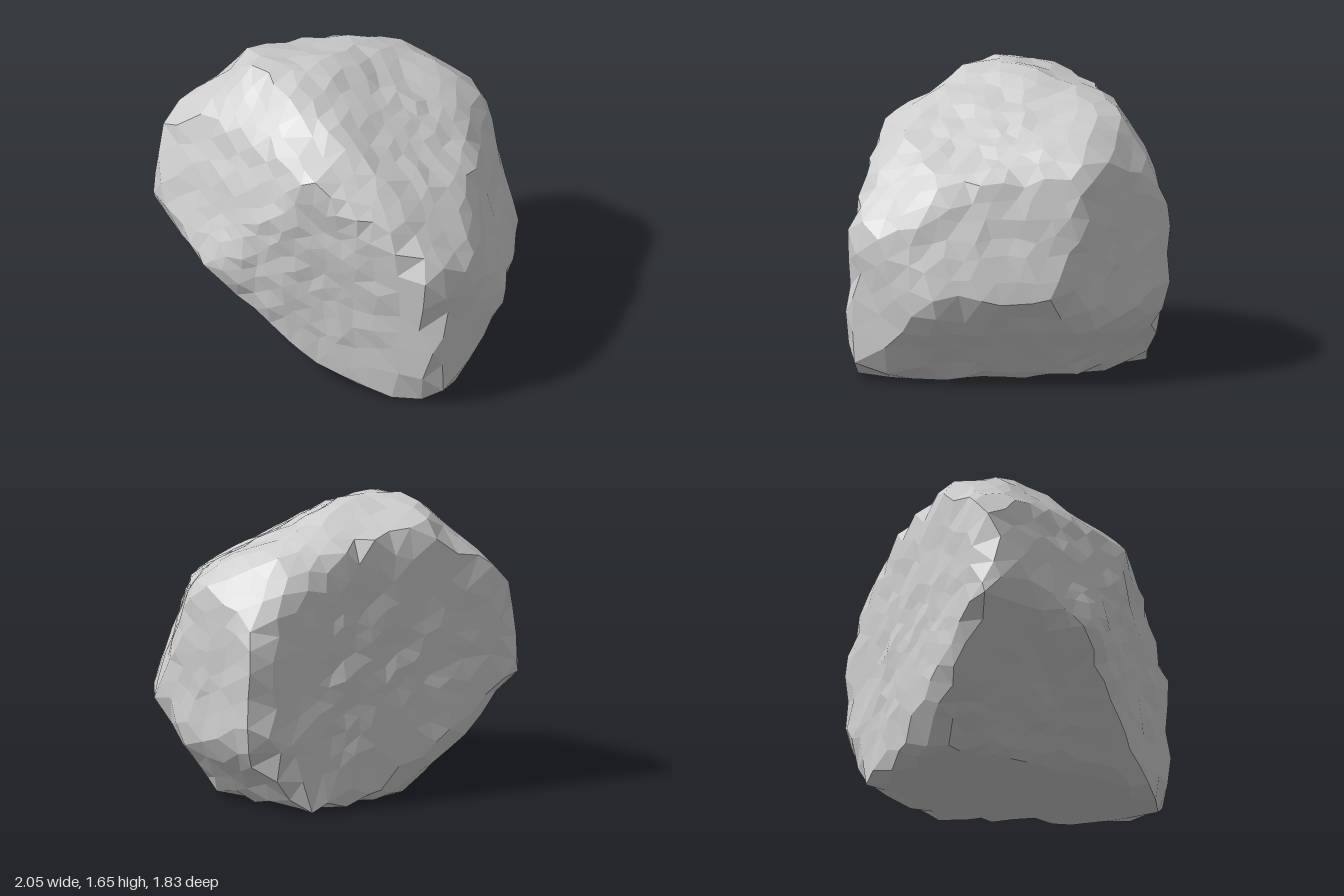
import * as THREE from 'three';
import { mergeVertices } from 'three/addons/utils/BufferGeometryUtils.js';

// Cleaved faces of the boulder: outward normal and distance from the origin
const FACES = [
  [-0.423, 0.05, -0.906, 0.658],  // back wall
  [-0.347, 0, 0.938, 0.662],      // front wall
  [-0.68, 0.3, 0.67, 0.93],       // front left slope
  [-1, 0.05, 0, 1.05],            // left nose
  [-0.66, 0.75, 0, 1.53],         // upper left shoulder
  [-0.55, 0.65, 0.5, 1.29],       // upper front left corner
  [0, 1, 0, 1.645],               // crown
  [0, 0.955, -0.3, 1.61],         // crown, falling to the back
  [0.457, 0.889, 0, 1.455],       // crown, falling to the right
  [0.45, 0.87, 0.2, 1.4],         // crown, falling to the front right
  [0.05, 0.88, 0.47, 1.5],        // crown, falling to the front
  [0.1, 0.6, -0.79, 1.39],        // upper back bevel
  [0.5, 0.6, -0.6, 1.4],          // upper back right corner
  [0.1, 0.62, 0.78, 1.33],        // upper front slope
  [0.5, 0.7, 0.5, 1.37],          // upper front right corner
  [0.94, 0.33, 0.1, 1.13],        // right wall
  [0.75, 0, 0.66, 1.065],         // front right bevel
  [0.8, 0.08, -0.6, 1.01],        // back right bevel
  [-0.64, -0.726, 0.25, 0.138],   // left undercut
  [-0.55, -0.6, -0.58, 0.415],    // lower back left chamfer
  [0.82, -0.57, 0, 0.54],         // right undercut
  [0.58, -0.6, -0.58, 0.585],     // lower back right chamfer
  [0.3, -0.75, 0.6, 0.65],        // lower front chamfer
  [0.2, -0.43, -0.88, 0.745],     // lower back chamfer
].map(([x, y, z, d]) => ({ n: new THREE.Vector3(x, y, z), d }));

const CENTRE = new THREE.Vector3(0.05, 0.75, 0);
const KNOB = new THREE.Vector3(0.61, 0.61, -0.5).normalize();
const SHARPNESS = 70;

// Small seeded random generator
function seeded(seed) {
  return () => {
    seed = (seed * 1664525 + 1013904223) % 4294967296;
    return seed / 4294967296;
  };
}

// Distance from the centre to the slightly rounded hull along a direction
function hullRadius(dir) {
  let sum = 0;
  for (const { n, d } of FACES) {
    const reach = n.dot(dir) / (d - n.dot(CENTRE));
    if (reach > 0) sum += reach ** SHARPNESS;
  }
  return sum ** (-1 / SHARPNESS);
}

function rockGeometry() {
  let geo = new THREE.IcosahedronGeometry(1, 8);
  geo.deleteAttribute('normal');
  geo.deleteAttribute('uv');
  geo = mergeVertices(geo, 1e-4);

  const random = seeded(7);
  const jitter = (size) => (random() - 0.5) * size;
  const pos = geo.attributes.position;
  const p = new THREE.Vector3();
  for (let i = 0; i < pos.count; i++) {
    // Irregular facets, chipped surface
    p.fromBufferAttribute(pos, i);
    p.x += jitter(0.06);
    p.y += jitter(0.06);
    p.z += jitter(0.06);
    p.normalize();
    let r = hullRadius(p) + 0.004;
    r += 0.008 * Math.sin(9 * p.x + 5 * p.y) * Math.sin(8 * p.z - 6 * p.y) + jitter(0.02);
    // Raised knob at the upper back right
    r += 0.065 * Math.exp((p.dot(KNOB) - 1) / 0.05);
    // Flat underside
    if (p.y < 0) r = Math.min(r, CENTRE.y / -p.y);
    p.multiplyScalar(r).add(CENTRE);
    pos.setXYZ(i, p.x, Math.max(p.y, 0), p.z);
  }

  geo = geo.toNonIndexed();
  geo.computeVertexNormals();
  return geo;
}

export function createModel() {
  const stone = new THREE.MeshStandardMaterial({ color: 0xcccccc, flatShading: true });
  stone.name = 'grey stone';

  const rock = new THREE.Mesh(rockGeometry(), stone);
  rock.name = 'rock';

  const model = new THREE.Group();
  model.name = 'boulder';
  model.add(rock);
  return model;
}
